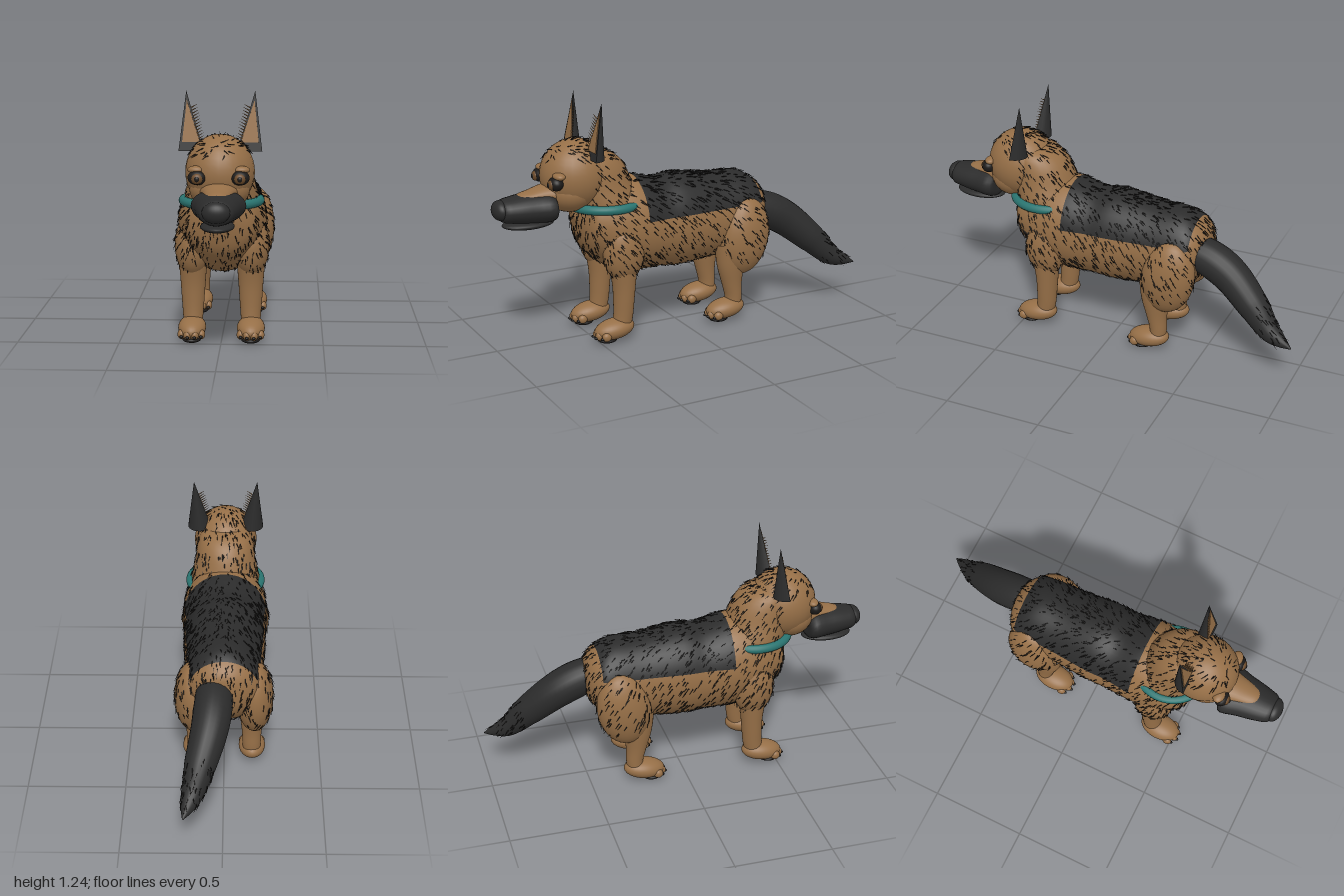
import * as THREE from 'three';
import { mergeGeometries, toCreasedNormals } from 'three/addons/utils/BufferGeometryUtils.js';
import { ConvexGeometry } from 'three/addons/geometries/ConvexGeometry.js';

const paint = (name, color) => {
  const m = new THREE.MeshStandardMaterial({ color });
  m.name = name;
  return m;
};
const V = (x, y, z) => new THREE.Vector3(x, y, z);

// Ellipsoid with its place baked in
function ball(x, y, z, rx, ry, rz, tilt = 0) {
  return new THREE.SphereGeometry(1, 28, 20).scale(rx, ry, rz).rotateX(tilt).translate(x, y, z);
}

// Joins rings of points; topCols and range mark faces that take the second material
function skin(rings, topCols = 0, range = [0, 0]) {
  const n = rings[0].length, main = [], extra = [];
  for (let i = 0; i < rings.length - 1; i++) {
    for (let j = 0; j < n; j++) {
      const a = i * n + j, b = i * n + (j + 1) % n;
      const list = j < topCols && i >= range[0] && i < range[1] ? extra : main;
      list.push(a, b, a + n, b, b + n, a + n);
    }
  }
  const g = new THREE.BufferGeometry().setFromPoints(rings.flat());
  g.setIndex([...main, ...extra]);
  g.addGroup(0, main.length, 0);
  if (extra.length) g.addGroup(main.length, extra.length, 1);
  g.computeVertexNormals();
  return g;
}

// Smooth in-between stations for rows of [along, centre, radiusA, radiusB]
function smooth(rows, steps) {
  const a = new THREE.CatmullRomCurve3(rows.map(r => V(r[0], r[1], r[2])), false, 'catmullrom');
  const b = new THREE.CatmullRomCurve3(rows.map(r => V(r[3], 0, 0)), false, 'catmullrom');
  const count = (rows.length - 1) * steps;
  return Array.from({ length: count + 1 }, (_, i) => [...a.getPoint(i / count).toArray(), b.getPoint(i / count).x]);
}
const angles = n => Array.from({ length: n }, (_, j) => j / n * Math.PI * 2);

// Loft along z: rows of [z, y, rx, ry]
const loftZ = rows => skin(smooth(rows, 4).map(([z, y, rx, ry]) =>
  angles(28).map(t => V(rx * Math.cos(t), y + ry * Math.sin(t), z))));

// Loft along y, rising: rows of [y, z, rx, rz]
const loftY = (rows, x = 0) => skin(smooth(rows, 4).map(([y, z, rx, rz]) =>
  angles(28).map(t => V(x + rx * Math.cos(t), y, z - rz * Math.sin(t)))));

let seed = 7;
const rand = () => (seed = (seed * 16807) % 2147483647) / 2147483647;

// Short hairs scattered by area over a geometry, combed down and back
function hairs(geometry, count, keep = () => true) {
  const p = geometry.toNonIndexed().attributes.position, tris = [];
  let total = 0;
  for (let i = 0; i < p.count; i += 3) {
    const t = new THREE.Triangle(...[0, 1, 2].map(k => new THREE.Vector3().fromBufferAttribute(p, i + k)));
    total += t.getArea();
    tris.push({ t, total });
  }
  const out = [];
  for (let k = 0; k < count; k++) {
    const pick = rand() * total;
    const { t } = tris.find(e => e.total >= pick) ?? tris[0];
    let u = rand(), v = rand();
    if (u + v > 1) { u = 1 - u; v = 1 - v; }
    const at = t.a.clone().multiplyScalar(1 - u - v).addScaledVector(t.b, u).addScaledVector(t.c, v);
    if (!keep(at)) continue;
    const n = t.getNormal(V(0, 0, 0));
    const dir = V(rand() * 0.5 - 0.25, -0.75, -0.6).projectOnPlane(n).normalize().addScaledVector(n, 0.18).normalize();
    out.push(hair(at, dir, 0.024 + rand() * 0.02, 0.0036));
  }
  return out;
}
function hair(at, dir, length, radius) {
  return new THREE.ConeGeometry(radius, length, 3, 1, true).translate(0, length / 2, 0)
    .applyQuaternion(new THREE.Quaternion().setFromUnitVectors(V(0, 1, 0), dir)).translate(at.x, at.y, at.z);
}

export function createModel() {
  const tan = paint('tan coat', 0x966f47), black = paint('black coat', 0x2b2b2b);
  const dark = paint('dark hair and pads', 0x1c1a19), teal = paint('teal collar', 0x2a7470);
  const brown = paint('brown iris', 0x6b4a2a);
  const dog = new THREE.Group();
  dog.name = 'dog';
  const add = (name, geometry, material, parent = dog) => {
    const m = new THREE.Mesh(geometry, material);
    m.name = name;
    parent.add(m);
    return geometry;
  };

  // Torso; the columns above y = 0.62 form the black saddle
  const body = smooth([
    [-0.5, 0.57, 0.004, 0.004], [-0.485, 0.57, 0.1, 0.1], [-0.43, 0.56, 0.175, 0.17], [-0.35, 0.55, 0.19, 0.218],
    [-0.2, 0.55, 0.197, 0.225], [0, 0.555, 0.21, 0.246], [0.12, 0.555, 0.21, 0.236], [0.25, 0.57, 0.22, 0.25],
    [0.36, 0.58, 0.215, 0.24], [0.46, 0.6, 0.19, 0.2], [0.53, 0.62, 0.145, 0.14], [0.57, 0.64, 0.004, 0.004],
  ], 5);
  const torso = skin(body.map(([z, y, rx, ry]) => {
    const a = Math.asin(THREE.MathUtils.clamp((0.62 - y) / ry, -0.6, 0.6));
    return Array.from({ length: 44 }, (_, j) => {
      const t = j < 20 ? a + (Math.PI - 2 * a) * j / 20 : Math.PI - a + (Math.PI + 2 * a) * (j - 20) / 24;
      return V(rx * Math.cos(t), y + ry * Math.sin(t), z);
    });
  }), 20, [10, 35]);
  add('torso and saddle', torso, [tan, black]);

  // Neck, head and collar
  const neck = add('neck', loftY([[0.55, 0.38, 0.18, 0.17], [0.7, 0.4, 0.183, 0.17], [0.8, 0.43, 0.162, 0.167],
    [0.9, 0.46, 0.145, 0.152], [0.96, 0.49, 0.11, 0.11], [0.99, 0.5, 0.004, 0.004]]), tan);
  const skull = add('skull', ball(0, 0.86, 0.56, 0.166, 0.18, 0.178), tan);
  add('cheeks', ball(0, 0.785, 0.595, 0.145, 0.11, 0.13), tan);
  add('collar', new THREE.TorusGeometry(0.187, 0.023, 14, 64).rotateX(Math.PI / 2).translate(0, 0.7, 0.4), teal);

  // Muzzle
  add('muzzle', loftZ([[0.695, 0.72, 0.004, 0.004], [0.7, 0.72, 0.124, 0.074], [0.8, 0.72, 0.11, 0.077],
    [0.9, 0.72, 0.09, 0.065], [0.955, 0.72, 0.068, 0.052], [0.975, 0.72, 0.004, 0.004]]), black);
  add('muzzle bridge', loftZ([[0.66, 0.78, 0.1, 0.06], [0.74, 0.78, 0.075, 0.045], [0.8, 0.776, 0.06, 0.032],
    [0.86, 0.764, 0.045, 0.03], [0.905, 0.752, 0.004, 0.004]]), tan);
  add('lower jaw', ball(0, 0.64, 0.815, 0.08, 0.024, 0.135), black);
  add('nose', ball(0, 0.725, 0.958, 0.065, 0.05, 0.042), black);

  // Paw with toes, claws and sole pad
  function paw(name, x, z) {
    const g = new THREE.Group();
    g.name = name;
    dog.add(g);
    add('foot', ball(x, 0.067, z, 0.069, 0.052, 0.108, 0.12), tan, g);
    add('sole pad', ball(x, 0.016, z + 0.04, 0.046, 0.016, 0.05), dark, g);
    [-0.048, -0.017, 0.017, 0.048].forEach(o => {
      const front = z + 0.098 - Math.abs(o) * 0.7;
      add('toe', ball(x + o, 0.046, front, 0.02, 0.024, 0.025), tan, g);
      add('claw', ball(x + o, 0.038, front + 0.02, 0.009, 0.008, 0.013), dark, g);
    });
  }

  const furry = [];
  for (const s of [1, -1]) {
    const side = s > 0 ? 'left' : 'right';

    // Legs
    furry.push(add(side + ' shoulder', ball(s * 0.145, 0.47, 0.365, 0.088, 0.16, 0.11), tan));
    furry.push(add(side + ' thigh', ball(s * 0.155, 0.45, -0.325, 0.095, 0.205, 0.14, -0.15), tan));
    add(side + ' front leg', loftY([[0.05, 0.385, 0.046, 0.046], [0.12, 0.372, 0.05, 0.05], [0.2, 0.367, 0.056, 0.053],
      [0.3, 0.365, 0.063, 0.06], [0.44, 0.37, 0.075, 0.08]], s * 0.143), tan);
    add(side + ' hind leg', loftY([[0.05, -0.265, 0.046, 0.044], [0.12, -0.272, 0.047, 0.044], [0.2, -0.262, 0.052, 0.054],
      [0.3, -0.255, 0.064, 0.075], [0.42, -0.265, 0.075, 0.1]], s * 0.143), tan);
    paw(side + ' front paw', s * 0.145, 0.422);
    paw(side + ' hind paw', s * 0.145, -0.222);

    // Eyes and brows
    add(side + ' eye rim', ball(s * 0.1, 0.85, 0.705, 0.045, 0.035, 0.036), dark);
    add(side + ' iris', ball(s * 0.1, 0.847, 0.73, 0.027, 0.025, 0.017), brown);
    add(side + ' pupil', ball(s * 0.1, 0.847, 0.738, 0.014, 0.015, 0.013), dark);
    add(side + ' brow', ball(s * 0.105, 0.886, 0.69, 0.042, 0.019, 0.03), tan);

    // Ear: rounded back, flat front with an inner panel and a fringe
    const arc = Array.from({ length: 13 }, (_, i) => i / 12 * Math.PI)
      .map(t => V(s * (0.14 + 0.06 * Math.cos(t)), 0.955, 0.535 - 0.068 * Math.sin(t)));
    add(side + ' ear', toCreasedNormals(new ConvexGeometry([...arc, V(s * 0.165, 1.24, 0.485)]), 0.7), black);
    const panel = [[0.098, 0.997], [0.183, 0.997], [0.162, 1.195]].flatMap(([x, y]) => {
      const z = 0.535 - 0.05 * (y - 0.955) / 0.285;
      return [V(s * x, y, z - 0.002), V(s * x, y, z + 0.004)];
    });
    add(side + ' inner ear', new ConvexGeometry(panel), tan);
    const fringe = Array.from({ length: 14 }, (_, i) => i / 13).map(k =>
      hair(V(s * (0.1 + 0.04 * k), 0.985 + 0.175 * k, 0.53 - 0.03 * k), V(s * -0.85, 0.5, 0.15).normalize(), 0.036, 0.004));
    add(side + ' ear fringe', mergeGeometries(fringe), tan);
  }

  // Tail, tapering to a tuft
  const path = new THREE.CatmullRomCurve3([V(0.045, 0.57, -0.42), V(0.05, 0.54, -0.52), V(0.065, 0.48, -0.63),
    V(0.11, 0.36, -0.77), V(0.15, 0.255, -0.88), V(0.19, 0.21, -1)]);
  const frames = path.computeFrenetFrames(30), radius = new THREE.SplineCurve([[0, 0.09], [0.2, 0.096], [0.4, 0.09],
    [0.6, 0.078], [0.82, 0.052], [0.93, 0.026], [1, 0.002]].map(p => new THREE.Vector2(...p)));
  const widths = radius.getPoints(120);
  const tail = add('tail', skin(frames.tangents.map((_, i) => {
    const c = path.getPointAt(i / 30), r = widths.find(p => p.x >= i / 30 - 1e-6)?.y ?? 0.002;
    return angles(20).map(t => c.clone().addScaledVector(frames.normals[i], r * Math.cos(t))
      .addScaledVector(frames.binormals[i], r * Math.sin(t)));
  })), black);

  // Coat hairs
  add('coat hairs', mergeGeometries([
    ...hairs(torso, 1500),
    ...hairs(neck, 420),
    ...hairs(skull, 420, p => p.y > 0.95 || p.z < 0.52),
    ...furry.flatMap(g => hairs(g, 170, p => p.y > 0.33)),
    ...hairs(tail, 300, p => p.z < -0.8 && p.z > -0.96 && p.y > 0.22),
  ]), dark);
  return dog;
}
